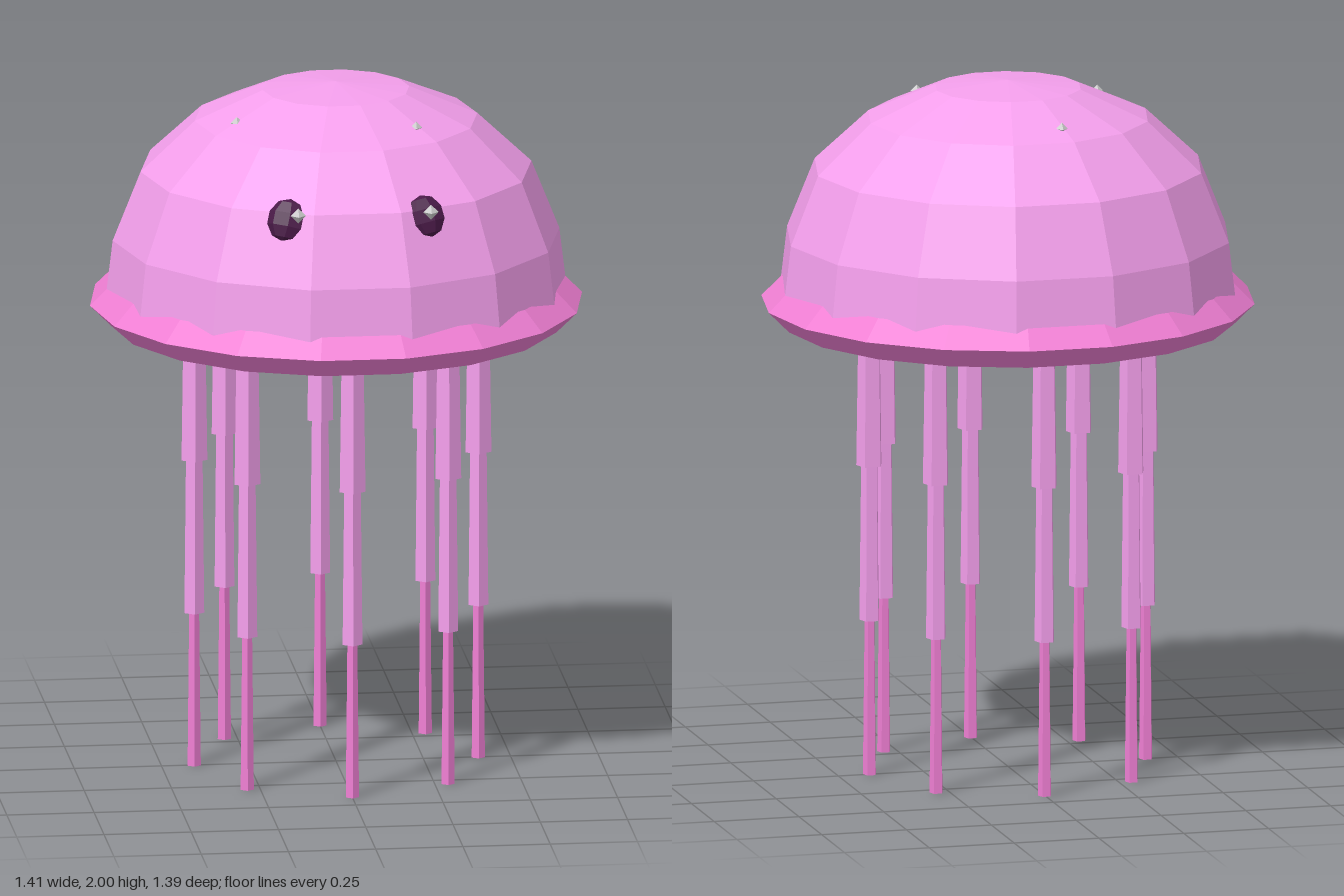
import * as THREE from 'three';

const mat = (color) => new THREE.MeshStandardMaterial({ color, flatShading: true, side: THREE.DoubleSide });

export function createModel() {
  const model = new THREE.Group();
  const bellPink = mat(0xf49fec), rimPink = mat(0xf07fd4), bellyPink = mat(0xe6cbe6);
  const eyeDark = mat(0x4a1a48), white = mat(0xf4f4f4);

  const add = (name, geometry, material, x = 0, y = 0, z = 0, parent = model) => {
    const mesh = new THREE.Mesh(geometry, material);
    mesh.name = name;
    mesh.position.set(x, y, z);
    parent.add(mesh);
    return mesh;
  };

  // Faceted bell, open below
  const profile = [[0.66, 1.37], [0.658, 1.4], [0.64, 1.55], [0.56, 1.75], [0.405, 1.895], [0.21, 1.98], [0, 2]]
    .map(([r, y]) => new THREE.Vector2(r, y));
  add('bell', new THREE.LatheGeometry(profile, 14, Math.PI / 2), bellPink);

  // Diamond-section rim and the flat underside inside it
  add('rim', new THREE.TorusGeometry(0.645, 0.06, 4, 18).rotateX(Math.PI / 2), rimPink, 0, 1.36);
  add('underside', new THREE.CircleGeometry(0.62, 18).rotateX(Math.PI / 2), bellPink, 0, 1.365);

  // Rounded belly bulging from the underside
  add('belly', new THREE.SphereGeometry(0.3, 10, 5).scale(1, 0.783, 1), bellyPink, 0, 1.4);

  // Eight tentacles, each of three stepped segments that flare downwards
  const segments = [
    { top: 1.37, bottom: 0.9, r0: 0.032, r1: 0.039, material: bellPink },
    { top: 0.91, bottom: 0.45, r0: 0.025, r1: 0.03, material: bellPink },
    { top: 0.46, bottom: 0, r0: 0.015, r1: 0.02, material: rimPink },
  ];
  for (let i = 0; i < 8; i++) {
    const a = (i * Math.PI) / 4;
    const tentacle = new THREE.Group();
    tentacle.name = 'tentacle';
    tentacle.position.set(0.407 * Math.cos(a), 0, 0.407 * Math.sin(a));
    for (const s of segments) {
      const geometry = new THREE.CylinderGeometry(s.r0, s.r1, s.top - s.bottom, 5);
      add('tentacleSegment', geometry, s.material, 0, (s.top + s.bottom) / 2, 0, tentacle);
    }
    model.add(tentacle);
  }

  // Eyes lying against the bell, with small highlights
  for (const side of [-1, 1]) {
    const geometry = new THREE.SphereGeometry(0.062, 7, 5).scale(0.9, 1, 0.5);
    const eye = add('eye', geometry, eyeDark, side * 0.2, 1.73, 0.513);
    eye.rotation.set(-0.4, side * 0.25, side * 0.25);
    add('eyeHighlight', new THREE.OctahedronGeometry(0.022), white, side * 0.19 + 0.02, 1.75, 0.545);
  }

  // Tiny specks barely poking through the bell
  for (const [x, y, z] of [[-0.07, 1.922, -0.33], [-0.3, 1.922, 0.14], [0.2, 1.925, 0.26]]) {
    add('speck', new THREE.OctahedronGeometry(0.018), white, x, y, z);
  }
  return model;
}
